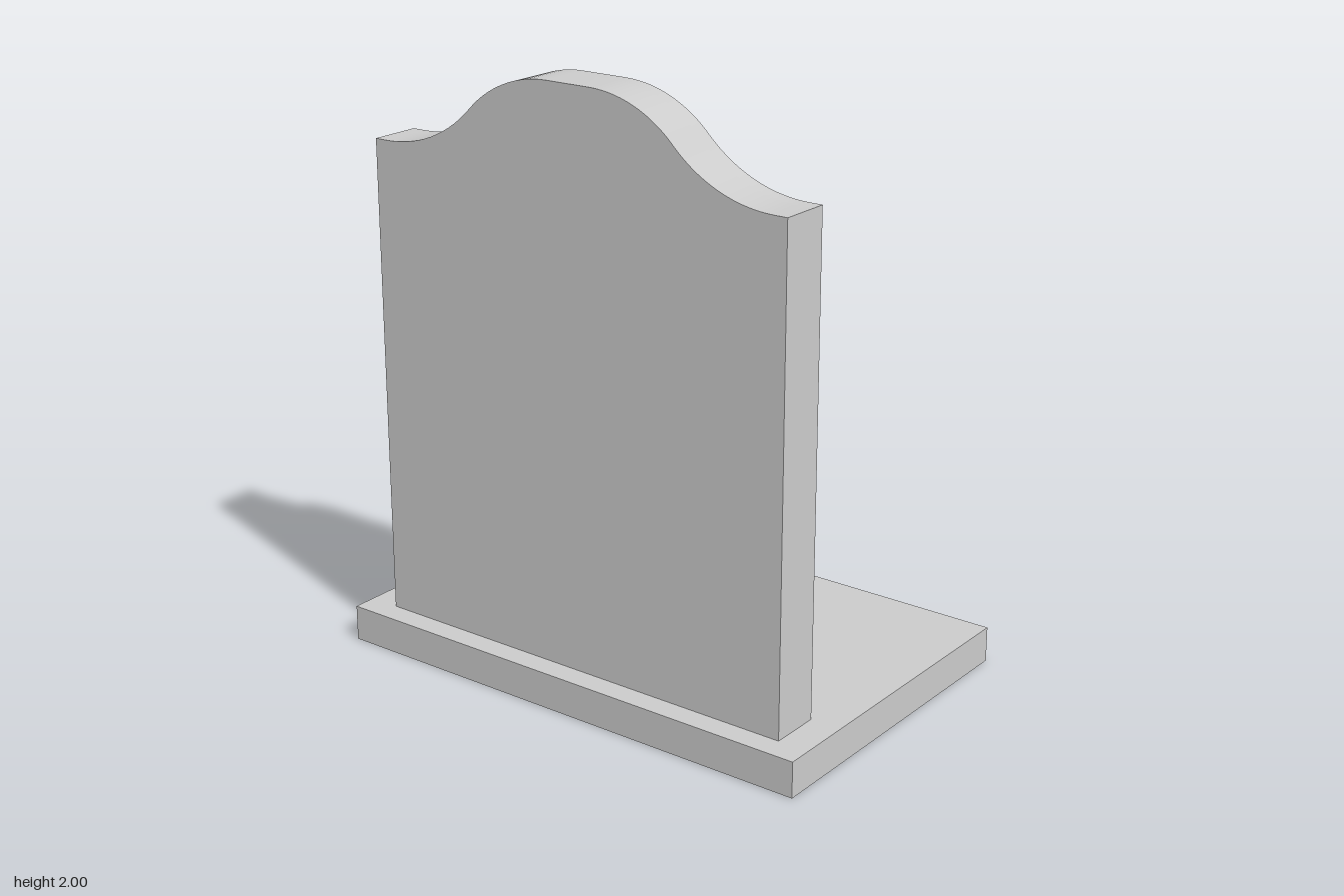
import * as THREE from 'three';
import { toCreasedNormals } from 'three/addons/utils/BufferGeometryUtils.js';

const BACK = -0.488, FRONT = -0.315, GROOVE = 0.045;
const material = new THREE.MeshStandardMaterial({ color: 0xcccccc });

// Arched outline, inset evenly by d: a convex crown flowing into concave shoulders.
function outline(d, bottom) {
  const a = 0.789, r1 = 0.43 - d, r2 = 0.493 + d, n = 14;
  const side = 0.78 - d;
  const half = [[side, bottom]];
  const cx = 0.735, cy = 1.727 + 0.493;
  const start = Math.asin(Math.min(0, side - cx) / -r2);
  if (side > cx) half.push([side, cy - r2]);
  for (let i = 0; i <= n; i++) {
    const t = start + (a - start) * i / n;
    half.push([cx - r2 * Math.sin(t), cy - r2 * Math.cos(t)]);
  }
  for (let i = 1; i <= n; i++) {
    const t = a * (1 - i / n);
    half.push([0.08 + r1 * Math.sin(t), 1.57 + r1 * Math.cos(t)]);
  }
  const mirrored = half.map(([x, y]) => [-x, y]).reverse();
  return [...half, ...mirrored].map(([x, y]) => new THREE.Vector2(x, y));
}

// Extrude an outline towards +x between two depths.
function slab(name, points, hole, x0, x1) {
  const shape = new THREE.Shape(points);
  if (hole) shape.holes.push(new THREE.Path(hole));
  const geo = new THREE.ExtrudeGeometry(shape, { depth: x1 - x0, bevelEnabled: false });
  geo.rotateY(Math.PI / 2).translate(x0, 0, 0);
  const mesh = new THREE.Mesh(toCreasedNormals(geo, 0.5), material);
  mesh.name = name;
  return mesh;
}

function box(name, x0, x1, y0, y1, depth) {
  const mesh = new THREE.Mesh(new THREE.BoxGeometry(x1 - x0, y1 - y0, depth), material);
  mesh.position.set((x0 + x1) / 2, (y0 + y1) / 2, 0);
  mesh.name = name;
  return mesh;
}

export function createModel() {
  const model = new THREE.Group();
  model.name = 'headstone';

  // Ground plinth
  model.add(box('base', -0.568, 0.568, 0, 0.12, 1.77));

  // Upright stone: solid back, outer rim and raised panel leaving a groove between
  const stone = new THREE.Group();
  stone.name = 'stone';
  const floor = FRONT - GROOVE;
  stone.add(
    slab('stoneBack', outline(0, 0.08), null, BACK, floor),
    slab('rim', outline(0, 0.08), outline(0.045, 0.128), floor, FRONT),
    slab('panel', outline(0.095, 0.175), null, floor, FRONT)
  );
  model.add(stone);

  // Inscription plaque, set through the stone
  model.add(box('plaque', BACK, -0.258, 0.893, 1.43, 1.3));
  return model;
}
